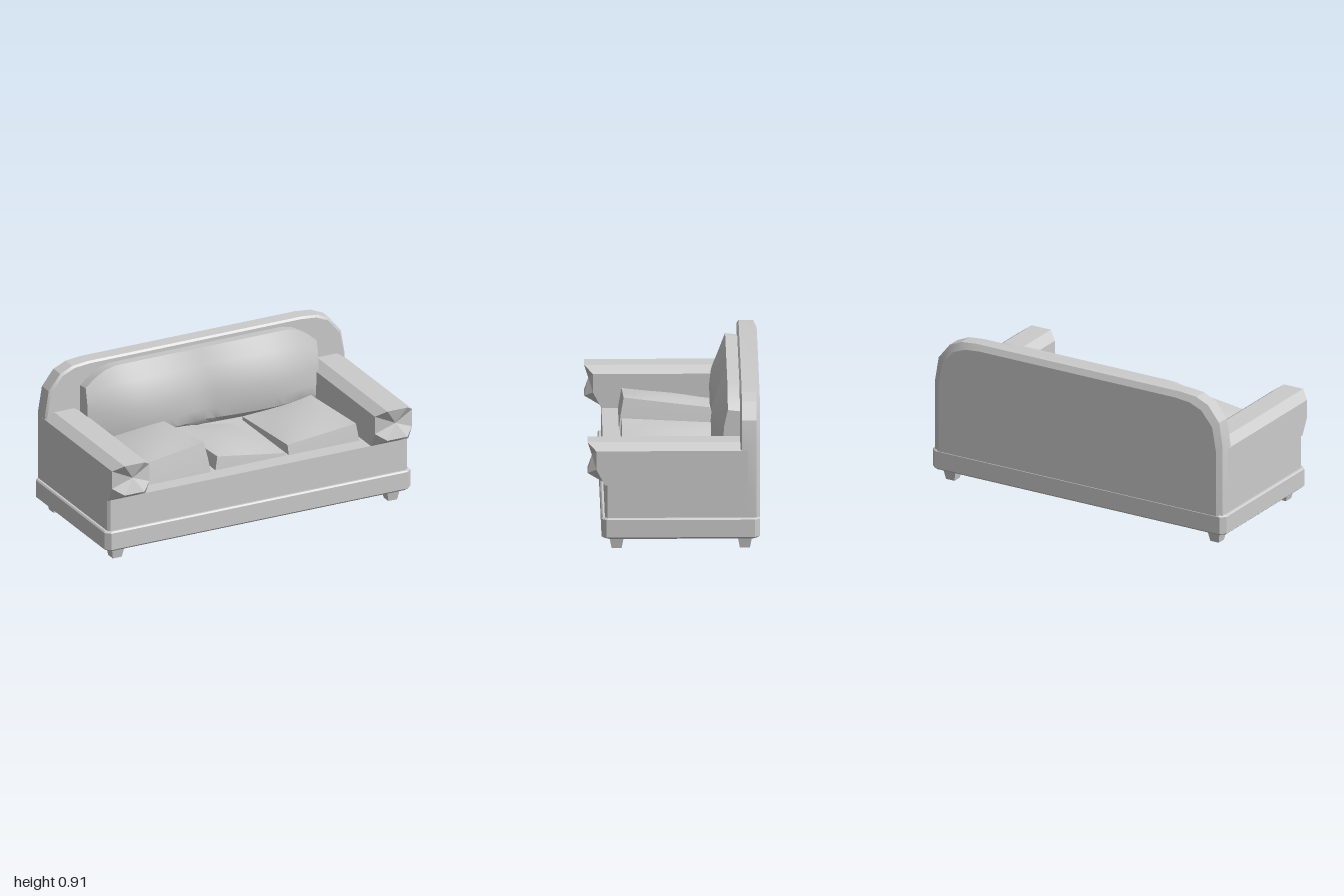
import * as THREE from 'three';
import { toCreasedNormals } from 'three/addons/utils/BufferGeometryUtils.js';

const material = new THREE.MeshStandardMaterial({ color: 0xcccccc });

function addMesh(parent, name, geometry, crease = 0.3) {
  const mesh = new THREE.Mesh(toCreasedNormals(geometry, crease), material);
  mesh.name = name;
  parent.add(mesh);
  return mesh;
}

// Skin a row of equal-length [x, y, z] rings and close both ends with fans.
function loft(rings) {
  const tris = [];
  const n = rings[0].length;
  for (let r = 0; r < rings.length - 1; r++) {
    for (let i = 0; i < n; i++) {
      const j = (i + 1) % n;
      const a = rings[r][i], b = rings[r][j], c = rings[r + 1][j], d = rings[r + 1][i];
      tris.push([a, b, c], [a, c, d]);
    }
  }
  const cap = (ring, flip) => {
    const mid = [0, 1, 2].map((k) => ring.reduce((s, p) => s + p[k], 0) / n);
    ring.forEach((p, i) => {
      const q = ring[(i + 1) % n];
      tris.push(flip ? [mid, q, p] : [mid, p, q]);
    });
  };
  cap(rings[0], true);
  cap(rings[rings.length - 1], false);
  // Turn every face outwards if the solid came out inverted.
  const volume = tris.reduce((s, [a, b, c]) => s
    + a[0] * (b[1] * c[2] - b[2] * c[1])
    + a[1] * (b[2] * c[0] - b[0] * c[2])
    + a[2] * (b[0] * c[1] - b[1] * c[0]), 0);
  if (volume < 0) tris.forEach((t) => t.reverse());
  const geometry = new THREE.BufferGeometry();
  geometry.setAttribute('position', new THREE.Float32BufferAttribute(tris.flat(2), 3));
  return geometry;
}

// Horizontal rectangle with cut corners.
function cutRect(w, z0, z1, c, y, inset = 0) {
  const x = w - inset, a = z0 + inset, b = z1 - inset;
  return [[x, a + c], [x, b - c], [x - c, b], [c - x, b],
    [-x, b - c], [-x, a + c], [c - x, a], [x - c, a]].map(([px, pz]) => [px, y, pz]);
}

// Upright outline of the backrest at depth z.
function backRing(z, inset) {
  const half = [[0.98, 0.19], [0.98, 0.62], [0.955, 0.77], [0.88, 0.865], [0.8, 0.9], [0.7, 0.91]];
  const outline = [...half, ...half.map(([x, y]) => [-x, y]).reverse()];
  return outline.map(([x, y]) => [
    x - Math.sign(x) * inset, y - inset * (y - 0.19) / 0.72, z]);
}

// Arm section centred on x = 0; the middle columns can stand proud of the sides.
function armRing(zSide, zMid, lowSide, lowMid) {
  const half = [[0.065, lowMid, zMid], [0.122, lowSide, zSide],
    [0.122, 0.595, zSide], [0.065, 0.635, zMid]];
  return [...half, ...half.map(([x, y, z]) => [-x, y, z]).reverse()];
}

// Section of the back cushion: two soft lobes with a dip between them.
function backCushionRing(x) {
  const t = Math.abs(x) / 0.755;
  const top = 0.885 - 0.105 * Math.pow(Math.max(0, (t - 0.72) / 0.28), 2);
  const lobe = t < 0.53
    ? 0.055 + 0.04 * Math.sin(t / 0.53 * Math.PI / 2)
    : 0.025 + 0.07 * Math.cos((t - 0.53) / 0.47 * Math.PI / 2);
  const h = top - 0.64;
  return [[0.41, -0.4], [top - 0.01, -0.4], [top, -0.315],
    [0.64 + h * 0.6, -0.315 + lobe * 0.5], [0.64 + h * 0.25, -0.315 + lobe * 0.9],
    [0.62, -0.315 + lobe], [0.52, -0.315 + lobe * 0.98],
    [0.45, -0.315 + lobe * 0.8], [0.41, -0.32 + lobe * 0.4]].map(([y, z]) => [x, y, z]);
}

// Box with a domed top and slightly eased top edges.
function seatCushionGeometry(w, h, d) {
  const geometry = new THREE.BoxGeometry(w, h, d, 8, 2, 8);
  const p = geometry.attributes.position;
  for (let i = 0; i < p.count; i++) {
    if (p.getY(i) < h / 2 - 0.001) continue;
    const u = p.getX(i) / (w / 2), v = p.getZ(i) / (d / 2);
    p.setXYZ(i, p.getX(i) * 0.98, p.getY(i) + 0.025 * (1 - u * u) * (1 - v * v), p.getZ(i) * 0.98);
  }
  return geometry;
}

export function createModel() {
  const sofa = new THREE.Group();
  sofa.name = 'sofa';

  // Base band and the seat box above it
  addMesh(sofa, 'plinth', loft([
    cutRect(1, -0.5, 0.42, 0.03, 0.07, 0.015), cutRect(1, -0.5, 0.42, 0.03, 0.083),
    cutRect(1, -0.5, 0.42, 0.03, 0.187), cutRect(1, -0.5, 0.42, 0.03, 0.195, 0.008)]));
  addMesh(sofa, 'seatBase', loft([
    cutRect(0.98, -0.48, 0.4, 0.015, 0.18), cutRect(0.98, -0.48, 0.4, 0.015, 0.39)]));

  // Backrest panel with softened edges
  addMesh(sofa, 'backrest', loft([
    backRing(-0.5, 0.035), backRing(-0.48, 0), backRing(-0.395, 0), backRing(-0.385, 0.012)]));

  // Arms with a faceted front overhang
  for (const side of [1, -1]) {
    const arm = addMesh(sofa, side > 0 ? 'leftArm' : 'rightArm', loft([
      armRing(-0.43, -0.43, 0.38, 0.38), armRing(0.4, 0.4, 0.39, 0.39),
      armRing(0.45, 0.5, 0.485, 0.45)]));
    arm.position.x = side * 0.859;
  }

  // Back cushion
  const rings = [];
  for (let i = 0; i <= 24; i++) rings.push(backCushionRing(-0.755 + 1.51 * i / 24));
  addMesh(sofa, 'backCushion', loft(rings), 0.5);

  // Loosely laid seat cushions: x, y, roll, front lift
  [['rightSeatCushion', -0.5, 0.41, 0.14, -0.12],
    ['middleSeatCushion', 0, 0.325, -0.15, -0.05],
    ['leftSeatCushion', 0.485, 0.355, 0.1, -0.07]].forEach(([name, x, y, roll, lift]) => {
    const cushion = addMesh(sofa, name, seatCushionGeometry(0.46, 0.2, 0.58), 0.4);
    cushion.position.set(x, y, 0.01);
    cushion.rotation.set(lift, 0, roll);
  });

  // Tapered feet
  for (const x of [-0.9, 0.9]) {
    for (const z of [-0.412, 0.332]) {
      const foot = new THREE.CylinderGeometry(0.062, 0.041, 0.08, 4).rotateY(Math.PI / 4);
      addMesh(sofa, 'foot', foot).position.set(x, 0.04, z);
    }
  }
  return sofa;
}
